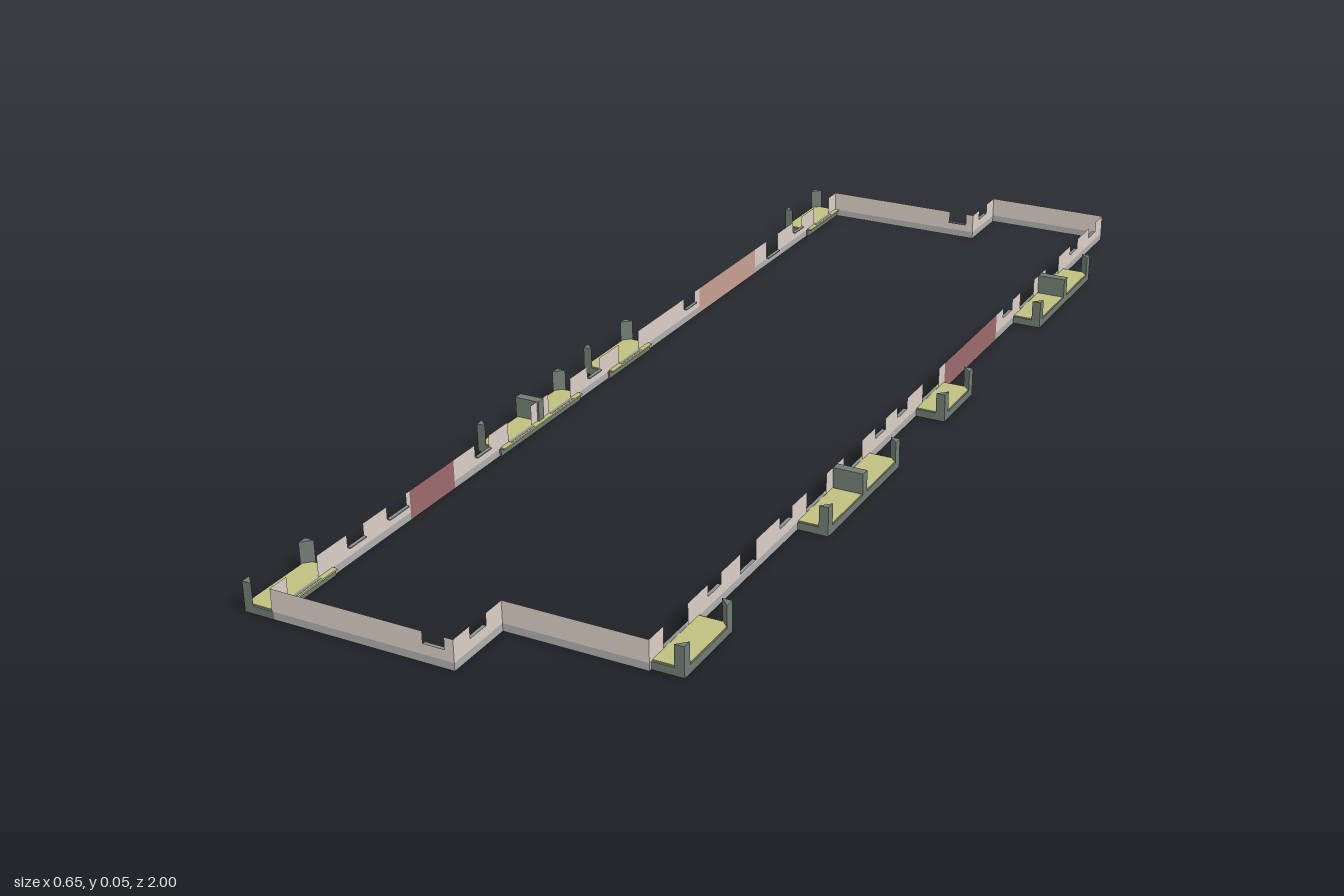
import * as THREE from 'three';

const H = 0.05, BAND = 0.013, SILL = 0.03, DEPTH = 0.006;
const mat = (color, side = THREE.FrontSide) => new THREE.MeshStandardMaterial({ color, side });
const M = {
  wall: mat(0xddd0c8, THREE.DoubleSide),
  band: mat(0xb0b0b2, THREE.DoubleSide),
  red: mat(0x9c6b6e, THREE.DoubleSide),
  pink: mat(0xc8a094, THREE.DoubleSide),
  sill: mat(0x8a8f90),
  frame: mat(0x727d75),
  floor: mat(0xc0c080),
};

function add(parent, name, geometry, material) {
  const mesh = new THREE.Mesh(geometry, material);
  mesh.name = name;
  parent.add(mesh);
  return mesh;
}

function box(parent, name, x0, x1, y0, y1, z0, z1, material) {
  const g = new THREE.BoxGeometry(Math.abs(x1 - x0), y1 - y0, Math.abs(z1 - z0));
  g.translate((x0 + x1) / 2, (y0 + y1) / 2, (z0 + z1) / 2);
  return add(parent, name, g, material);
}

// Upright sheet whose top edge steps down at each opening [from, to, sill height]
function sheet(parent, name, axis, at, from, to, y0, openings, material) {
  const s = new THREE.Shape();
  s.moveTo(from, y0);
  s.lineTo(from, H);
  for (const [a, b, y] of openings) {
    s.lineTo(a, H);
    s.lineTo(a, y);
    s.lineTo(b, y);
    s.lineTo(b, H);
  }
  s.lineTo(to, H);
  s.lineTo(to, y0);
  const g = new THREE.ShapeGeometry(s);
  if (axis === 'z') g.rotateY(-Math.PI / 2).translate(at, 0, 0);
  else g.translate(0, 0, at);
  return add(parent, name, g, material);
}

// Straight wall with a plinth band and a narrow ledge inside every opening
function wall(parent, name, axis, at, from, to, openings, inward) {
  const g = new THREE.Group();
  g.name = name;
  parent.add(g);
  sheet(g, 'wallPanel', axis, at, from, to, BAND, openings, M.wall);
  const strip = new THREE.PlaneGeometry(to - from, BAND);
  strip.translate((from + to) / 2, BAND / 2, 0);
  if (axis === 'z') strip.rotateY(-Math.PI / 2).translate(at, 0, 0);
  else strip.translate(0, 0, at);
  add(g, 'plinthBand', strip, M.band);
  for (const [a, b, y] of openings) {
    const d = at + inward * DEPTH;
    if (axis === 'z') box(g, 'windowSill', at, d, y - 0.002, y, a, b, M.sill);
    else box(g, 'windowSill', a, b, y - 0.002, y, at, d, M.sill);
  }
  return g;
}

// Slab with a coloured floor, two outer corner posts and, on double ones, a divider
function balcony(parent, side, z0, z1, outer, double) {
  const g = new THREE.Group();
  g.name = 'balcony';
  parent.add(g);
  const inner = 0.272;
  box(g, 'balconySlab', side * inner, side * outer, 0, 0.013, z0, z1, M.frame);
  box(g, 'balconyFloor', side * (inner - 0.006), side * (outer - 0.002),
    0.012, 0.0145, z0 + 0.003, z1 - 0.003, M.floor);
  for (const [z, dir] of [[z0, 1], [z1, -1]]) {
    const s = new THREE.Shape([
      new THREE.Vector2(side * outer, -z),
      new THREE.Vector2(side * (outer - 0.016), -z),
      new THREE.Vector2(side * outer, -(z + dir * 0.016)),
    ]);
    const post = new THREE.ExtrudeGeometry(s, { depth: H - 0.012, bevelEnabled: false });
    post.rotateX(-Math.PI / 2).translate(0, 0.012, 0);
    add(g, 'cornerPost', post, M.frame);
  }
  if (double) {
    const m = (z0 + z1) / 2;
    box(g, 'divider', side * inner, side * outer, 0.012, H, m - 0.008, m + 0.008, M.frame);
  }
}

// Balcony door openings: one per unit
function doors(z0, z1, double) {
  const units = double ? [[z0, (z0 + z1) / 2], [(z0 + z1) / 2, z1]] : [[z0, z1]];
  return units.map(([a, b]) => {
    const m = (a + b) / 2;
    return [m - 0.035, m + 0.035, BAND + 0.002];
  });
}

export function createModel() {
  const model = new THREE.Group();
  model.name = 'buildingStorey';

  const sides = [
    {
      side: 1, x: 0.272, from: -1, to: 0.88,
      balconies: [[-0.775, -0.5, true], [-0.165, -0.04, false], [0.15, 0.42, true], [0.735, 0.875, false]],
      windows: [[-0.96, -0.92, SILL], [-0.85, -0.81, SILL], [-0.49, -0.445, SILL], [0, 0.04, SILL],
        [0.09, 0.13, SILL], [0.44, 0.48, SILL], [0.56, 0.61, 0.016], [0.67, 0.71, SILL]],
      panels: [[-0.41, -0.165, M.red]],
    },
    {
      side: -1, x: -0.275, from: -0.885, to: 1,
      balconies: [[-0.885, -0.745, false], [-0.085, 0.06, false], [0.16, 0.41, true], [0.855, 1, false]],
      windows: [[-0.72, -0.68, SILL], [-0.61, -0.56, 0.016], [-0.26, -0.22, SILL], [0.09, 0.13, SILL],
        [0.44, 0.48, SILL], [0.67, 0.72, SILL], [0.78, 0.82, SILL]],
      panels: [[-0.51, -0.28, M.pink], [0.54, 0.66, M.red]],
    },
  ];

  for (const s of sides) {
    const openings = [...s.windows];
    for (const [a, b, double] of s.balconies) {
      openings.push(...doors(a, b, double));
      balcony(model, s.side, a, b, s.side < 0 && double ? 0.317 : 0.324, double);
    }
    openings.sort((p, q) => p[0] - q[0]);
    // Coloured panels fill the breaks between wall runs
    let start = s.from;
    for (const [a, b, material] of [...s.panels, [s.to, s.to, null]]) {
      const inRun = openings.filter(o => o[0] >= start && o[1] <= a);
      wall(model, 'longWall', 'z', s.x, start, a, inRun, -s.side);
      if (material) sheet(model, 'colouredPanel', 'z', s.x, a, b, 0, [], material);
      start = b;
    }
  }

  // Stepped end walls, each with a window at the step
  const jog = 0.035, notch = [[-0.016, 0.02, SILL]];
  wall(model, 'frontWallRight', 'x', 1, -0.275, jog, notch, -1);
  wall(model, 'frontWallLeft', 'x', 0.88, jog, 0.272, [], -1);
  wall(model, 'frontStep', 'z', jog, 0.88, 1, [[0.92, 0.96, SILL]], -1);
  wall(model, 'backWallRight', 'x', -0.885, -0.275, jog, notch, 1);
  wall(model, 'backWallLeft', 'x', -1, jog, 0.272, [], 1);
  wall(model, 'backStep', 'z', jog, -1, -0.885, [[-0.96, -0.92, SILL]], -1);

  return model;
}
